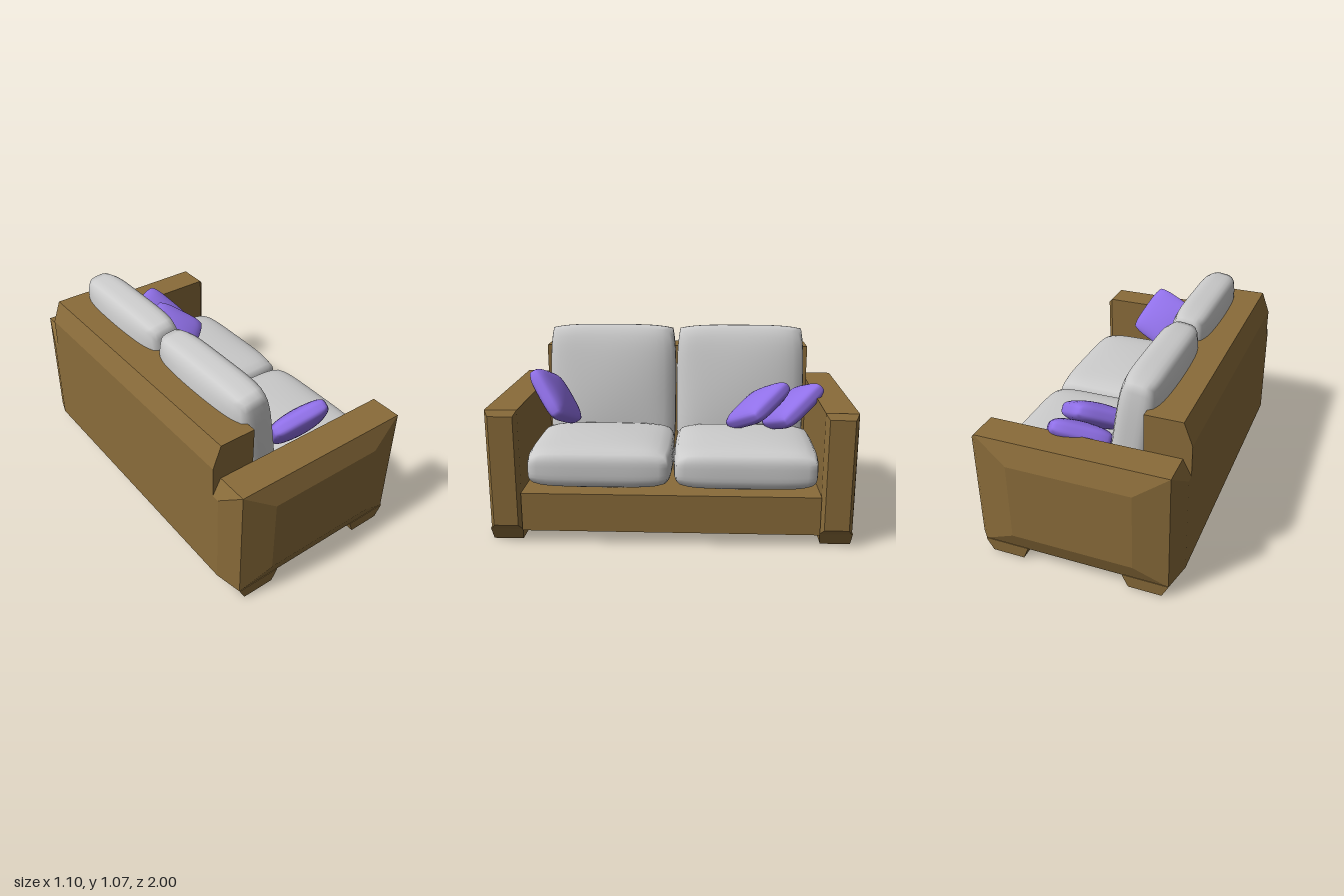
import * as THREE from 'three';
import { mergeVertices } from 'three/addons/utils/BufferGeometryUtils.js';
import { ConvexGeometry } from 'three/addons/geometries/ConvexGeometry.js';

const frameMat = new THREE.MeshStandardMaterial({ color: 0x8a6c3a, flatShading: true });
const cushionMat = new THREE.MeshStandardMaterial({ color: 0xcccccc });
const pillowMat = new THREE.MeshStandardMaterial({ color: 0x9070e8 });
const rad = THREE.MathUtils.degToRad;

// Corner points of a box given by its ranges
function corners([x0, x1], [y0, y1], [z0, z1]) {
  const pts = [];
  for (const x of [x0, x1]) for (const y of [y0, y1]) for (const z of [z0, z1]) pts.push(new THREE.Vector3(x, y, z));
  return pts;
}

// Stuffed square: thick in the middle, rounded rim and corners (half sizes; thickness along y)
function cushionGeometry(hx, hy, hz, edge, corner, rim) {
  const g = new THREE.BoxGeometry(2, 2, 2, 16, 8, 16);
  g.deleteAttribute('uv');
  g.deleteAttribute('normal');
  const p = g.attributes.position;
  for (let i = 0; i < p.count; i++) {
    const u = p.getX(i), v = p.getY(i), w = p.getZ(i);
    const crown = edge + (1 - edge) * (1 - u * u) * (1 - w * w);
    const roll = (1 - 0.16 * u ** 8) * (1 - 0.16 * w ** 8);
    const shrink = 1 - rim * v ** 4;
    p.setXYZ(i,
      hx * u * shrink * (1 - corner * w ** 4),
      hy * v * crown * roll,
      hz * w * shrink * (1 - corner * u ** 4));
  }
  const merged = mergeVertices(g);
  merged.computeVertexNormals();
  return merged;
}

export function createModel() {
  const sofa = new THREE.Group();
  sofa.name = 'sofa';
  const add = (name, geo, mat, pos = [0, 0, 0], rot = [0, 0, 0]) => {
    const m = new THREE.Mesh(geo, mat);
    m.name = name;
    m.position.set(...pos);
    m.rotation.set(...rot.map(rad));
    sofa.add(m);
  };

  // Base and backrest share one L-shaped section
  const section = new THREE.Shape([
    [-0.53, 0.07], [0.53, 0.07], [0.53, 0.28], [-0.31, 0.28],
    [-0.31, 0.93], [-0.505, 0.93], [-0.55, 0.81], [-0.55, 0.1],
  ].map(([x, y]) => new THREE.Vector2(x, y)));
  const body = new THREE.ExtrudeGeometry(section, { depth: 1.58, bevelEnabled: false });
  add('baseAndBackrest', body, frameMat, [0, 0, -0.79]);

  for (const s of [1, -1]) {
    const side = s > 0 ? 'left' : 'right';
    const zs = (a, b) => [s * a, s * b];

    // Arm with raised outer panel and bevelled front and back
    add(side + 'Arm', new ConvexGeometry([
      ...corners([-0.505, 0.515], [0.07, 0.73], zs(0.79, 0.96)),
      ...corners([-0.33, 0.33], [0.175, 0.61], zs(0.9, 1)),
      ...corners([-0.55, 0], [0.1, 0.64], zs(0.79, 0.83)),
      ...corners([0, 0.54], [0.1, 0.7], zs(0.81, 0.94)),
    ]), frameMat);

    // Tapered feet
    for (const [name, a, b, c, d] of [['Back', -0.505, -0.26, -0.47, -0.29], ['Front', 0.27, 0.515, 0.3, 0.48]]) {
      add(side + name + 'Foot', new ConvexGeometry([
        ...corners([a, b], [0.07, 0.075], zs(0.79, 0.965)),
        ...corners([c, d], [0, 0], zs(0.8, 0.96)),
      ]), frameMat);
    }

    // Seat cushion and leaning back cushion
    add(side + 'SeatCushion', cushionGeometry(0.325, 0.128, 0.385, 0.82, 0.05, 0.06), cushionMat,
      [0.222, 0.41, s * 0.388 - 0.008]);
    add(side + 'BackCushion', cushionGeometry(0.395, 0.142, 0.375, 0.74, 0.05, 0.06), cushionMat,
      [-0.212, 0.675, s * 0.378 - 0.004], [0, 0, -82]);
  }

  // Throw pillows
  const pillow = cushionGeometry(0.162, 0.066, 0.162, 0.7, 0.09, 0.1);
  add('leftPillow', pillow, pillowMat, [0.085, 0.7, 0.67], [-55, -25, 0]);
  add('rightPillow', pillow, pillowMat, [0.085, 0.655, -0.67], [40, 27, 0]);
  add('rightFrontPillow', pillow, pillowMat, [0.075, 0.655, -0.475], [36, 40, 0]);

  return sofa;
}
